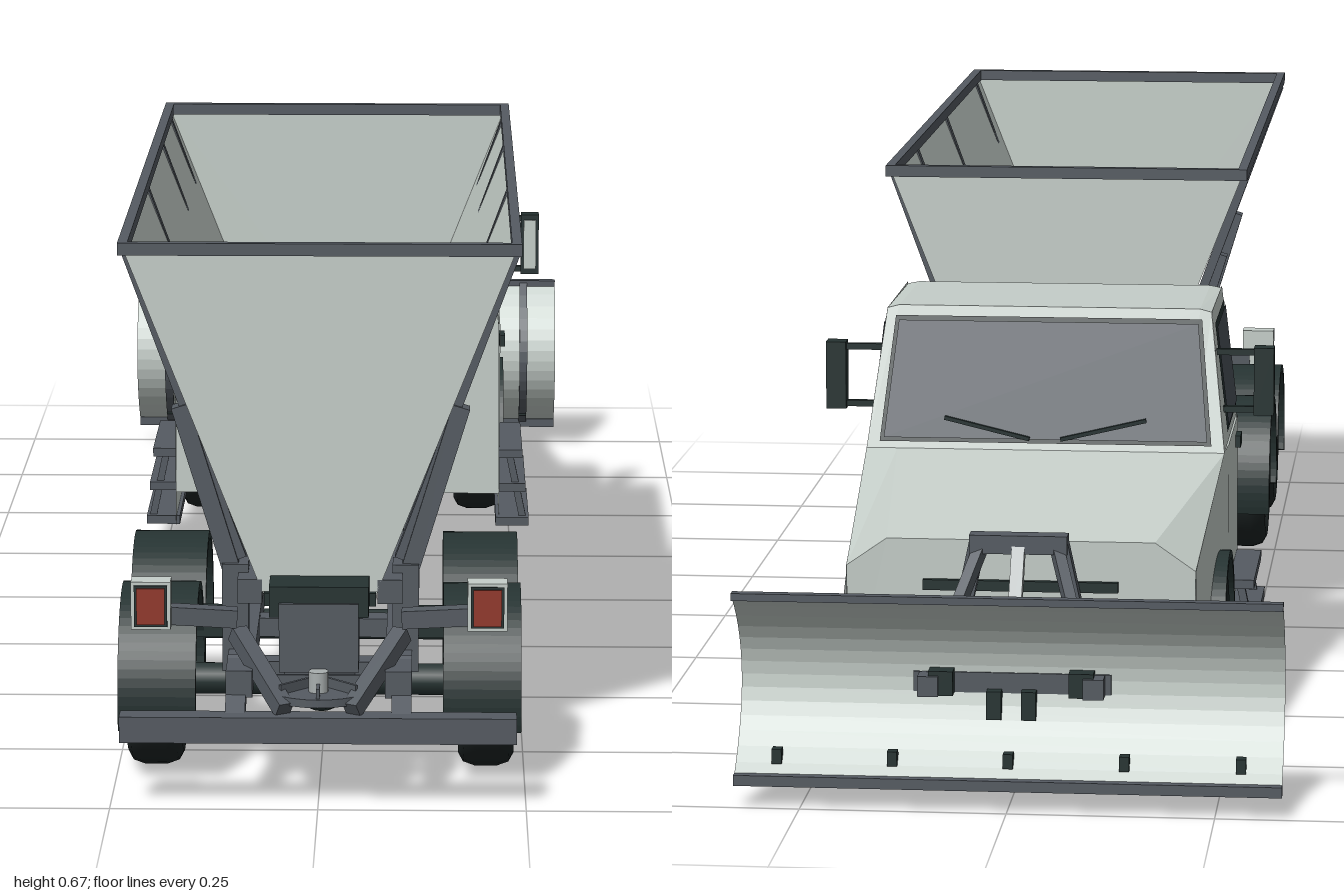
import * as THREE from 'three';

const M = (name, hex) => Object.assign(new THREE.MeshStandardMaterial({ color: hex, side: THREE.DoubleSide }), { name });

export function createModel() {
  const paint = M('pale grey paint', 0xc6cfca), steel = M('slate steel', 0x555b62), dark = M('dark plastic', 0x263332);
  const rubber = M('tyre rubber', 0x1d2424), glass = M('tinted glass', 0x4a515a), red = M('red lamp', 0x93382b);
  const metal = M('bright metal', 0xa9afaf);
  const root = new THREE.Group();
  const add = (name, geo, mat, x = 0, y = 0, z = 0, parent = root) => {
    const m = new THREE.Mesh(geo, mat);
    m.name = name;
    m.position.set(x, y, z);
    parent.add(m);
    return m;
  };
  // box from its extents
  const box = (name, mat, x0, x1, y0, y1, z0, z1, parent = root) =>
    add(name, new THREE.BoxGeometry(Math.abs(x1 - x0), y1 - y0, Math.abs(z1 - z0)), mat, (x0 + x1) / 2, (y0 + y1) / 2, (z0 + z1) / 2, parent);
  // square bar between two points
  const bar = (name, mat, a, b, w, h = w) => {
    const p = new THREE.Vector3(...a), q = new THREE.Vector3(...b);
    const m = add(name, new THREE.BoxGeometry(w, h, p.distanceTo(q)), mat);
    m.position.copy(p).add(q).multiplyScalar(0.5);
    m.lookAt(q);
    return m;
  };
  // flat-shaded skin through rows of points
  const skin = (name, mat, rows) => {
    const pos = [];
    for (let i = 0; i + 1 < rows.length; i++) for (let j = 0; j + 1 < rows[i].length; j++) {
      const a = rows[i][j], b = rows[i][j + 1], c = rows[i + 1][j + 1], d = rows[i + 1][j];
      pos.push(...a, ...b, ...c, ...a, ...c, ...d);
    }
    const g = new THREE.BufferGeometry();
    g.setAttribute('position', new THREE.Float32BufferAttribute(pos, 3));
    g.computeVertexNormals();
    return add(name, g, mat);
  };
  // side panel drawn as (z, y), placed at half-width w(y, z)
  const sidePanel = (name, mat, shape, w, s) => {
    const g = new THREE.ShapeGeometry(shape, 16), p = g.attributes.position;
    for (let i = 0; i < p.count; i++) {
      const z = p.getX(i), y = p.getY(i);
      p.setXYZ(i, s * w(y, z), y, z);
    }
    if (s > 0) g.setIndex([...g.index.array].reverse());
    g.computeVertexNormals();
    return add(name, g, mat);
  };
  const poly = (pts) => new THREE.Shape(pts.map((p) => new THREE.Vector2(...p)));
  const sides = [-1, 1];

  // hopper: sloping walls, upright ends, dark floor and top rim
  const HZ0 = -0.195, HZ1 = 0.885, wallX = (y) => 0.085 + (y - 0.25) * 0.37;
  for (const s of sides) {
    skin('hopperSide', paint, [[[s * 0.235, 0.66, HZ0], [s * 0.235, 0.66, HZ1]], [[s * 0.068, 0.235, HZ0], [s * 0.068, 0.235, HZ1]]]);
    box('hopperRimSide', steel, s * 0.23, s * 0.242, 0.655, 0.67, HZ0 - 0.006, HZ1 + 0.006);
    for (const z of [0.83, 0.42, 0.07, -0.145]) {
      bar('hopperRib', steel, [s * (wallX(0.655) + 0.002), 0.655, z], [s * (wallX(0.27) + 0.004), 0.27, z], 0.018, 0.012);
      bar('hopperRibBrace', steel, [s * (wallX(0.46) + 0.008), 0.46, z], [s * 0.107, 0.25, z], 0.026, 0.022);
      box('hopperPost', steel, s * 0.088, s * 0.12, 0.13, 0.265, z - 0.02, z + 0.02);
    }
    box('hopperSill', steel, s * 0.07, s * 0.1, 0.225, 0.255, HZ0, HZ1);
  }
  for (const z of [HZ0, HZ1]) {
    skin('hopperEnd', paint, [[[-0.235, 0.66, z], [0.235, 0.66, z]], [[-0.07, 0.24, z], [0.07, 0.24, z]]]);
    box('hopperRimEnd', steel, -0.242, 0.242, 0.655, 0.67, z - 0.006, z + 0.006);
  }
  box('conveyorFloor', dark, -0.068, 0.068, 0.222, 0.238, HZ0, HZ1);

  // chassis rails, cross members and axles
  for (const s of sides) box('chassisRail', steel, s * 0.08, s * 0.112, 0.125, 0.158, -0.8, 0.95);
  for (const z of [-0.17, 0.07, 0.3, 0.42, 0.665, 0.87]) box('crossMember', steel, -0.09, 0.09, 0.128, 0.152, z - 0.015, z + 0.015);
  box('engineBlock', dark, -0.12, 0.12, 0.1, 0.2, -0.76, -0.28);

  // wheels with rims, spokes and hubs
  const tyreProfile = [[0.062, -0.032], [0.09, -0.034], [0.101, -0.028], [0.106, -0.014], [0.106, 0.014], [0.101, 0.028], [0.09, 0.034], [0.062, 0.032], [0.058, 0], [0.062, -0.032]];
  const tyreGeo = new THREE.LatheGeometry(tyreProfile.map((p) => new THREE.Vector2(...p)), 36);
  const wheel = (z, s) => {
    const g = new THREE.Group();
    g.name = 'wheel';
    g.position.set(s * 0.203, 0.106, z);
    g.rotation.z = -s * Math.PI / 2;
    add('tyre', tyreGeo, rubber, 0, 0, 0, g);
    add('wheelDish', new THREE.CylinderGeometry(0.06, 0.06, 0.04, 28), dark, 0, 0, 0, g);
    const rim = add('rim', new THREE.TorusGeometry(0.057, 0.006, 8, 32), metal, 0, 0.026, 0, g);
    rim.rotation.x = Math.PI / 2;
    add('hub', new THREE.CylinderGeometry(0.018, 0.025, 0.016, 20), metal, 0, 0.027, 0, g);
    for (let i = 0; i < 8; i++) {
      const a = i * Math.PI / 4;
      const spoke = add('spoke', new THREE.BoxGeometry(0.036, 0.008, 0.014), metal, 0.038 * Math.cos(a), 0.022, 0.038 * Math.sin(a), g);
      spoke.rotation.y = -a;
    }
    root.add(g);
  };
  // curved mudguard over a wheel
  const arch = (name, z, s, x0, x1, r, a0, a1) => {
    const sh = new THREE.Shape();
    sh.absarc(0, 0, r, a0, a1, false);
    sh.absarc(0, 0, r - 0.01, a1, a0, true);
    const g = new THREE.ExtrudeGeometry(sh, { depth: x1 - x0, bevelEnabled: false, curveSegments: 20 });
    g.rotateY(Math.PI / 2);
    add(name, g, dark, s > 0 ? x0 : -x1, 0.106, z);
  };
  for (const z of [0.795, 0.533, -0.555]) {
    for (const s of sides) {
      wheel(z, s);
      if (z > 0) arch('mudguard', z, s, 0.15, 0.245, 0.12, -0.3, Math.PI + 0.3);
      else arch('wheelArchTrim', z, s, 0.15, 0.242, 0.122, -0.1, Math.PI + 0.2);
    }
    const axle = add('axle', new THREE.CylinderGeometry(0.02, 0.02, 0.36, 12), dark, 0, 0.106, z);
    axle.rotation.z = Math.PI / 2;
    add('differential', new THREE.SphereGeometry(0.04, 14, 10), dark, 0, 0.106, z);
  }
  for (const s of sides) box('mudguardBracket', dark, s * 0.1, s * 0.16, 0.13, 0.16, 0.64, 0.69);

  // cab skin: rear wall, roof, windshield frame, hood and nose as rows of [z, y, halfWidth, inset, drop]
  const cabRows = [[-0.22, 0.1, 0.233, 0.02, 0], [-0.22, 0.345, 0.231, 0.02, 0], [-0.22, 0.517, 0.21, 0.015, 0.003],
    [-0.44, 0.522, 0.21, 0.015, 0.004], [-0.5, 0.345, 0.231, 0.04, 0], [-0.82, 0.296, 0.215, 0.05, 0.035], [-0.815, 0.075, 0.213, 0.05, 0]];
  skin('cabShell', paint, cabRows.map(([z, y, w, i, d]) => [[-w, y - d, z], [i - w, y, z], [w - i, y, z], [w, y - d, z]]));
  const upperW = (y) => 0.231 - (y - 0.345) * 0.12;
  const fenderW = (y, z) => 0.233 + (z + 0.44) * 0.047;
  const fender = poly([[-0.44, 0.05], [-0.44, 0.345], [-0.5, 0.345], [-0.82, 0.261], [-0.815, 0.075], [-0.675, 0.075]]);
  fender.lineTo(-0.673, 0.106);
  fender.absarc(-0.555, 0.106, 0.118, Math.PI, 0, true);
  fender.lineTo(-0.44, 0.05);
  for (const s of sides) {
    sidePanel('cabUpperSide', paint, poly([[-0.22, 0.345], [-0.22, 0.517], [-0.44, 0.518], [-0.5, 0.345]]), upperW, s);
    sidePanel('doorPanel', paint, poly([[-0.22, 0.05], [-0.22, 0.345], [-0.44, 0.345], [-0.44, 0.05]]), () => 0.233, s);
    sidePanel('frontFender', paint, fender, fenderW, s);
    sidePanel('sideWindowSeal', dark, poly([[-0.238, 0.36], [-0.238, 0.502], [-0.43, 0.502], [-0.436, 0.36]]), (y) => upperW(y) + 0.002, s);
    sidePanel('sideWindow', glass, poly([[-0.244, 0.367], [-0.244, 0.496], [-0.424, 0.496], [-0.43, 0.367]]), (y) => upperW(y) + 0.004, s);
    box('doorHandle', dark, s * 0.232, s * 0.24, 0.31, 0.326, -0.285, -0.25);
    // mirror with two arms
    box('mirrorFrame', dark, s * 0.265, s * 0.291, 0.384, 0.472, -0.442, -0.418);
    box('mirrorGlass', paint, s * 0.269, s * 0.287, 0.392, 0.464, -0.418, -0.415);
    for (const y of [0.39, 0.465]) bar('mirrorArm', dark, [s * 0.21, y, -0.43], [s * 0.27, y, -0.43], 0.008);
    // boarding steps
    for (const y of [0.055, 0.105, 0.155]) box('step', steel, s * 0.228, s * (0.276 - (y - 0.055) * 0.1), y - 0.006, y + 0.006, -0.42, -0.235);
    for (const z of [-0.25, -0.405]) bar('stepHanger', steel, [s * 0.268, 0.055, z], [s * 0.246, 0.16, z], 0.01);
    // wiper
    bar('wiper', dark, [s * 0.02, 0.36, -0.503], [s * 0.13, 0.385, -0.496], 0.005);
  }
  const pane = (name, mat, x, t0, t1, out) => {
    const row = (t) => { const z = -0.44 - 0.06 * t - out, y = 0.522 - 0.177 * t, w = x + 0.018 * t; return [[-w, y, z], [w, y, z]]; };
    skin(name, mat, [row(t0), row(t1)]);
  };
  pane('windshieldSeal', dark, 0.197, 0.07, 0.95, 0.003);
  pane('windshield', glass, 0.192, 0.1, 0.92, 0.006);

  // grille and headlamps
  for (let i = 0; i < 5; i++) box('grilleSlat', dark, -0.12, 0.12, 0.145 + i * 0.022, 0.158 + i * 0.022, -0.826, -0.818);
  for (const s of sides) box('headlamp', metal, s * 0.14, s * 0.185, 0.16, 0.195, -0.824, -0.816);

  // plow: curved blade with edges and rear ribs
  const bladeAt = (t, off = 0) => {
    const a = (t - 0.5) * 2, y = 0.147 + 0.113 * a;
    return [y, -0.922 - 0.073 * a * a + off];
  };
  const bladeRows = (x0, x1, off, t0 = 0, t1 = 1, n = 14) => Array.from({ length: n + 1 }, (_, i) => {
    const [y, z] = bladeAt(t0 + (t1 - t0) * i / n, off);
    return [[x0, y, z], [x1, y, z]];
  });
  skin('plowBlade', paint, bladeRows(-0.33, 0.33, 0));
  for (const x of [-0.28, -0.14, 0, 0.14, 0.28]) {
    skin('plowRib', steel, bladeRows(x - 0.006, x + 0.006, 0.008));
    for (const d of [-0.006, 0.006]) skin('plowRibSide', steel, bladeRows(x, x, 0).map(([p]) => [[x + d, p[1], p[2]], [x + d, p[1], p[2] + 0.008]]));
    box('plowBolt', dark, x - 0.006, x + 0.006, 0.05, 0.068, -0.98, -0.965);
  }
  box('cuttingEdge', steel, -0.33, 0.33, 0.027, 0.04, -1, -0.985);
  box('plowTopEdge', steel, -0.33, 0.33, 0.255, 0.264, -1, -0.987);
  // push frame, headstock and lift ram
  for (const s of sides) {
    bar('pushArm', steel, [s * 0.1, 0.142, -0.8], [s * 0.1, 0.142, -0.95], 0.025);
    bar('pushBrace', steel, [s * 0.1, 0.15, -0.92], [s * 0.02, 0.15, -0.82], 0.014);
    bar('headstockPost', steel, [s * 0.08, 0.16, -0.838], [s * 0.05, 0.3, -0.838], 0.02);
    bar('liftLink', steel, [s * 0.045, 0.295, -0.835], [s * 0.08, 0.2, -0.92], 0.014);
    box('armPin', dark, s * 0.07, s * 0.1, 0.13, 0.16, -0.945, -0.92);
    box('centrePin', dark, s * 0.012, s * 0.03, 0.1, 0.135, -0.94, -0.92);
  }
  box('headstockBar', steel, -0.06, 0.06, 0.285, 0.308, -0.85, -0.826);
  box('pushCrossBar', steel, -0.12, 0.12, 0.13, 0.155, -0.925, -0.9);
  bar('liftRam', metal, [0, 0.295, -0.84], [0, 0.18, -0.92], 0.016);

  // rear bumper, lamps and braces
  box('rearBumper', steel, -0.238, 0.238, 0.082, 0.114, 0.97, 1);
  for (const s of sides) {
    bar('bumperBrace', steel, [s * 0.1, 0.19, 0.89], [s * 0.04, 0.12, 0.985], 0.02);
    bar('bumperArm', steel, [s * 0.1, 0.15, 0.88], [s * 0.1, 0.1, 0.98], 0.024);
    bar('lampArm', steel, [s * 0.1, 0.21, 0.895], [s * 0.19, 0.216, 0.9], 0.022);
    box('lampCase', paint, s * 0.179, s * 0.227, 0.203, 0.262, 0.9, 0.928);
    box('lampSeal', dark, s * 0.183, s * 0.223, 0.207, 0.258, 0.926, 0.93);
    box('tailLamp', red, s * 0.186, s * 0.22, 0.21, 0.255, 0.928, 0.933);
  }
  // spreader chute and spinner
  box('spreaderChute', steel, -0.048, 0.048, 0.155, 0.24, 0.88, 0.945);
  box('chuteHood', dark, -0.06, 0.06, 0.222, 0.26, 0.88, 0.94);
  add('spinnerDisc', new THREE.CylinderGeometry(0.07, 0.07, 0.01, 28), steel, 0, 0.13, 0.925);
  add('spinnerHub', new THREE.CylinderGeometry(0.012, 0.012, 0.03, 14), metal, 0, 0.145, 0.955);
  for (let i = 0; i < 4; i++) {
    const vane = add('spinnerVane', new THREE.BoxGeometry(0.13, 0.014, 0.004), steel, 0, 0.14, 0.925);
    vane.rotation.y = i * Math.PI / 4;
  }
  return root;
}
